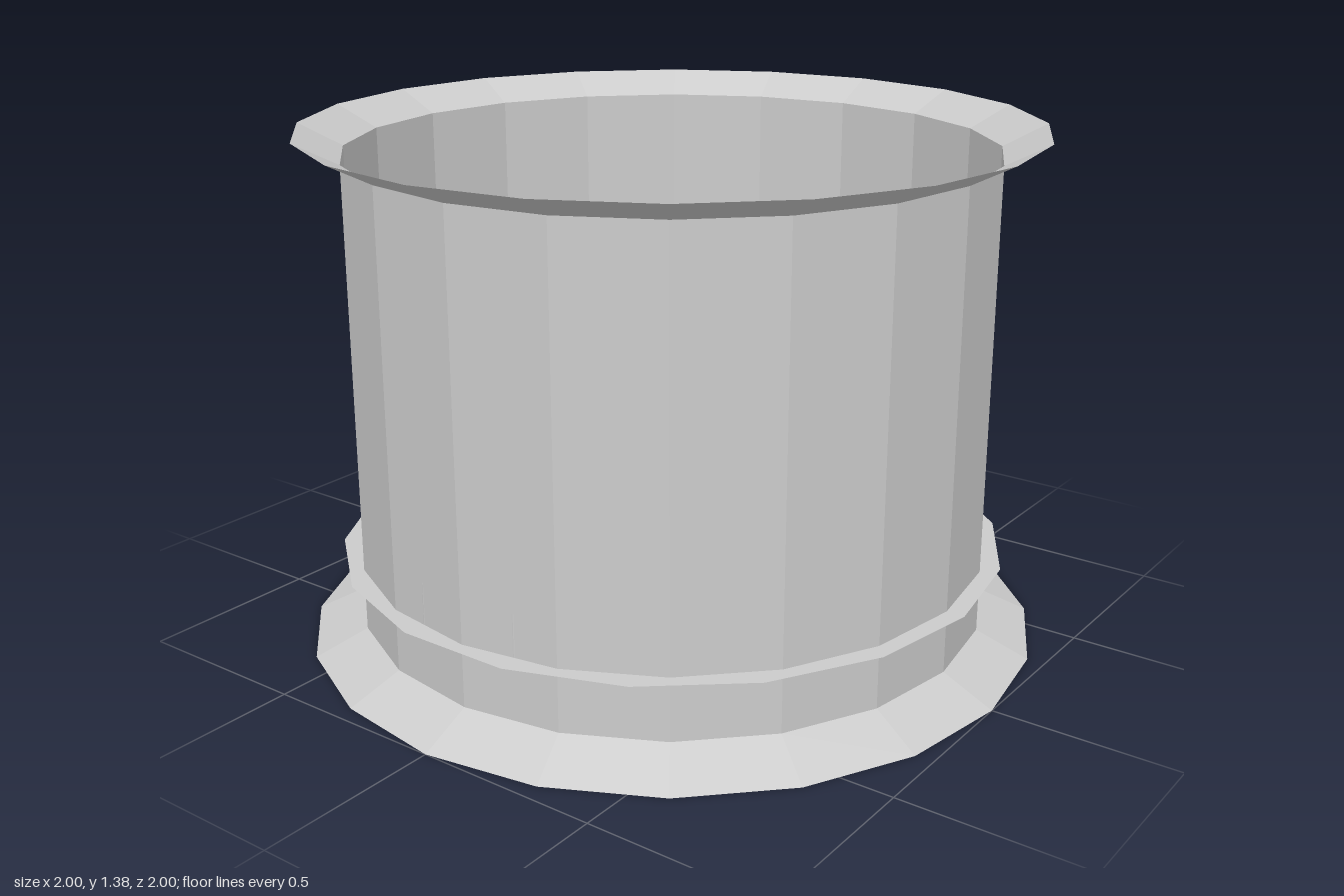
import * as THREE from 'three';

const rad = THREE.MathUtils.degToRad;

export function createModel() {
  const model = new THREE.Group();
  const material = new THREE.MeshStandardMaterial({
    color: 0xcccccc, flatShading: true, side: THREE.DoubleSide,
  });
  const add = (parent, name, geometry, y = 0) => {
    const mesh = new THREE.Mesh(geometry, material);
    mesh.name = name;
    mesh.position.y = y;
    parent.add(mesh);
    return mesh;
  };

  // Thin barrel with a flared lip at each end
  const profile = [[1, 0], [0.86, 0.065], [0.86, 1.325], [0.977, 1.385]]
    .map(([r, y]) => new THREE.Vector2(r, y));
  add(model, 'barrel', new THREE.LatheGeometry(profile, 20));

  // Spoked plate: six equal sectors, each one spoke with its piece of the rim
  const plateY = 0.235, thickness = 0.115;
  const hubR = 0.195, holeR = 0.787, rimR = 0.85;
  const plate = new THREE.Group();
  plate.name = 'spokedPlate';
  plate.position.y = plateY;
  model.add(plate);

  const sector = new THREE.Shape([
    [hubR, -30], [holeR, -10], [holeR, -30],
    [rimR, -30], [rimR, -10], [rimR, 10], [rimR, 30],
    [holeR, 30], [holeR, 10], [hubR, 30],
  ].map(([r, a]) => new THREE.Vector2(r * Math.cos(rad(a)), r * Math.sin(rad(a)))));
  const spoke = new THREE.ExtrudeGeometry(sector, { depth: thickness, bevelEnabled: false });
  spoke.rotateX(-Math.PI / 2);
  for (let i = 0; i < 6; i++) {
    add(plate, 'spoke', spoke).rotation.y = rad(20 + 60 * i);
  }

  // Flat edge of the plate showing outside the barrel
  const edge = new THREE.RingGeometry(rimR, 0.91, 18, 1, rad(10));
  edge.rotateX(-Math.PI / 2);
  add(plate, 'plateEdge', edge);

  // Hub: six-sided point hanging down, dished on top
  const hubDrop = 0.105;
  const hub = new THREE.CylinderGeometry(hubR, 0, hubDrop, 6, 1, true, rad(20));
  add(plate, 'hubPoint', hub, -hubDrop / 2);
  add(plate, 'hubDish', hub, thickness - hubDrop / 2);

  return model;
}
